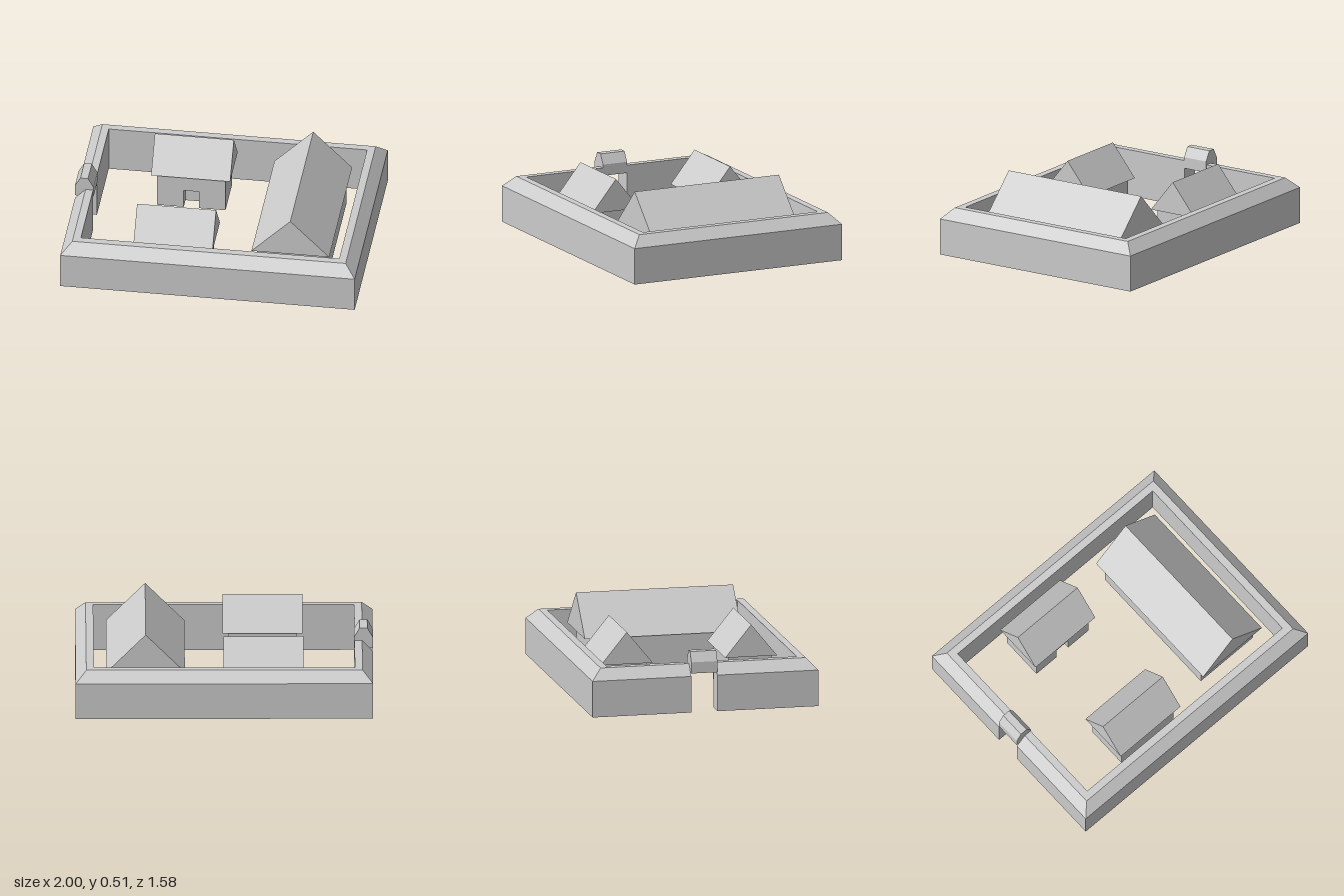
import * as THREE from 'three';

const material = new THREE.MeshStandardMaterial({ color: 0xcccccc, flatShading: true });

function add(parent, name, geometry, x = 0, y = 0, z = 0) {
  const mesh = new THREE.Mesh(geometry, material);
  mesh.name = name;
  mesh.position.set(x, y, z);
  parent.add(mesh);
  return mesh;
}

// Extrude a closed polygon along z, centred on z = 0
function prism(points, depth) {
  const shape = new THREE.Shape(points.map(([x, y]) => new THREE.Vector2(x, y)));
  return new THREE.ExtrudeGeometry(shape, { depth, bevelEnabled: false }).translate(0, 0, -depth / 2);
}

// Sweep a profile of [inset, height] round the rectangle, leaving the gate gap open
const HALF_X = 0.978, HALF_Z = 0.762, GATE_Z = -0.008, GATE_HALF = 0.088;
function enclosure(profile) {
  const ring = ([d, y]) => {
    const x = HALF_X - d, z = HALF_Z - d;
    return [
      [-x, y, GATE_Z + GATE_HALF], [-x, y, z], [x, y, z],
      [x, y, -z], [-x, y, -z], [-x, y, GATE_Z - GATE_HALF],
    ];
  };
  const rings = profile.map(ring);
  const n = profile.length;
  const positions = [];
  const tri = (a, b, c) => positions.push(...a, ...b, ...c);
  for (let j = 0; j < n; j++) {
    const low = rings[j], high = rings[(j + 1) % n];
    for (let i = 0; i < 5; i++) {
      tri(low[i], low[i + 1], high[i + 1]);
      tri(low[i], high[i + 1], high[i]);
    }
  }
  // End faces at the gate
  for (let j = 1; j < n - 1; j++) {
    tri(rings[0][0], rings[j][0], rings[j + 1][0]);
    tri(rings[0][5], rings[j + 1][5], rings[j][5]);
  }
  const geometry = new THREE.BufferGeometry();
  geometry.setAttribute('position', new THREE.Float32BufferAttribute(positions, 3));
  geometry.computeVertexNormals();
  return geometry;
}

// Gabled roof with its ridge along z
function gable(width, rise, length) {
  return prism([[-width / 2, 0], [width / 2, 0], [0, rise]], length);
}

// Small house with a recessed doorway on its +z side
function smallHouse(name) {
  const house = new THREE.Group();
  house.name = name;
  const w = 0.455, d = 0.29, h = 0.25, recess = 0.08, doorW = 0.1, doorH = 0.13;
  add(house, 'houseBody', new THREE.BoxGeometry(w, h, d - recess), 0, h / 2, -recess / 2);
  const front = [
    [-w / 2, 0], [-doorW / 2, 0], [-doorW / 2, doorH], [doorW / 2, doorH],
    [doorW / 2, 0], [w / 2, 0], [w / 2, h], [-w / 2, h],
  ];
  add(house, 'doorwayWall', prism(front, recess), 0, 0, (d - recess) / 2);
  add(house, 'houseRoof', gable(0.35, 0.215, 0.525), 0, h, 0).rotation.y = Math.PI / 2;
  return house;
}

export function createModel() {
  const model = new THREE.Group();
  model.name = 'walledCompound';
  // The whole layout is turned slightly
  const layout = new THREE.Group();
  layout.name = 'layout';
  layout.rotation.y = 0.028;
  model.add(layout);

  // Perimeter wall and its sloped coping
  add(layout, 'perimeterWall', enclosure([[0, 0.007], [0, 0.25], [0.12, 0.25], [0.12, 0.007]]));
  add(layout, 'wallCoping', enclosure([[0, 0.25], [0.07, 0.322], [0.12, 0.322], [0.12, 0.25]]));

  // Gate roof
  const arch = [
    [-0.062, 0.27], [0.062, 0.27], [0.062, 0.345],
    [0.025, 0.41], [-0.025, 0.41], [-0.062, 0.345],
  ];
  add(layout, 'gateRoof', prism(arch, GATE_HALF * 2), -0.917, 0, GATE_Z);

  // Main hall
  const hall = new THREE.Group();
  hall.name = 'mainHall';
  hall.position.set(0.517, 0.007, 0.002);
  add(hall, 'hallBody', new THREE.BoxGeometry(0.46, 0.245, 0.95), 0, 0.1225, 0);
  add(hall, 'hallRoof', gable(0.516, 0.258, 1.06), 0, 0.245, 0);
  layout.add(hall);

  // Two houses facing each other across the yard
  const back = smallHouse('backHouse');
  back.position.set(-0.258, 0, -0.425);
  const front = smallHouse('frontHouse');
  front.position.set(-0.255, 0.007, 0.415);
  front.rotation.y = Math.PI;
  layout.add(back, front);

  return model;
}
